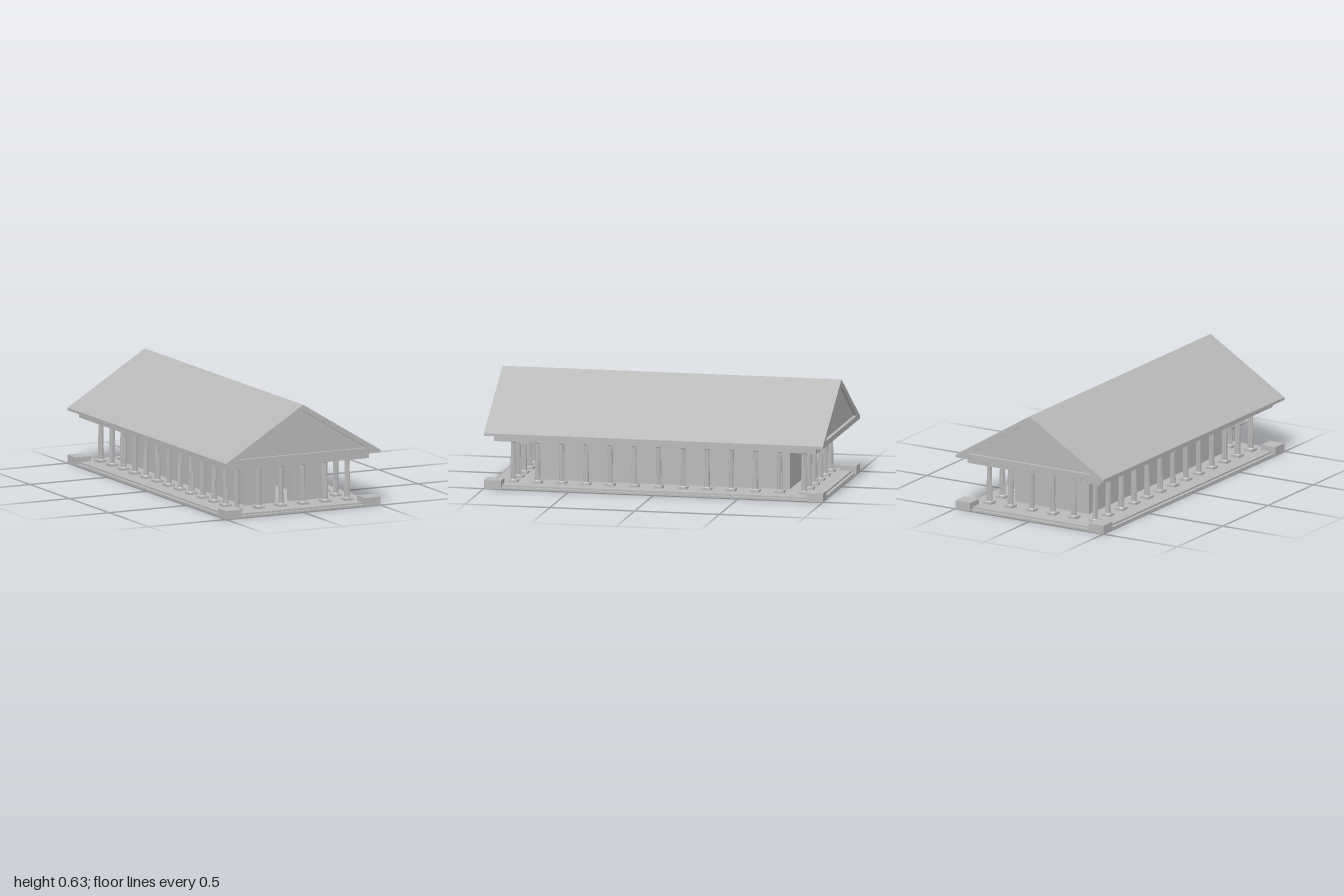
import * as THREE from 'three';

const stone = new THREE.MeshStandardMaterial({ color: 0xb8b8b8 });
stone.name = 'grey stone';
const openStone = stone;
openStone.side = THREE.DoubleSide; // several parts are hollow underneath

function add(parent, name, geometry, x = 0, y = 0, z = 0) {
  const mesh = new THREE.Mesh(geometry, stone);
  mesh.name = name;
  mesh.position.set(x, y, z);
  parent.add(mesh);
  return mesh;
}

const box = (w, h, d) => new THREE.BoxGeometry(w, h, d);
const vec = (pts) => pts.map(([x, y]) => new THREE.Vector2(x, y));
const rect = (x0, x1, z0, z1) => [[x0, z0], [x1, z0], [x1, z1], [x0, z1]];

// Extrude a floor plan given in x, z upwards from y = 0
function prism(plan, height, holes = []) {
  const flip = (pts) => vec(pts.map(([x, z]) => [x, -z]));
  const shape = new THREE.Shape(flip(plan));
  shape.holes = holes.map((h) => new THREE.Path(flip(h)));
  return new THREE.ExtrudeGeometry(shape, { depth: height, bevelEnabled: false }).rotateX(-Math.PI / 2);
}

// The same without its bottom face
function shell(plan, height) {
  const source = prism(plan, height);
  const skip = source.groups[0].count / 2;
  const result = new THREE.BufferGeometry();
  for (const key of ['position', 'normal', 'uv']) {
    const a = source.attributes[key];
    result.setAttribute(key, new THREE.BufferAttribute(a.array.slice(skip * a.itemSize), a.itemSize));
  }
  return result;
}

// Step outline with a notch for each corner block
function stepPlan(a, b) {
  const x = 0.4, z = 0.9;
  return [[a, -z], [a, z], [x, z], [x, b], [-x, b], [-x, z],
    [-a, z], [-a, -z], [-x, -z], [-x, -b], [x, -b], [x, -z]];
}

// Tapered shaft with vertical flutes and crisp edges
function flutedShaft(height) {
  const g = new THREE.CylinderGeometry(0.0145, 0.017, height, 24, 1, true);
  const p = g.attributes.position;
  for (let i = 0; i < p.count; i++) {
    if (i % 25 % 2) {
      p.setX(i, p.getX(i) * 0.88);
      p.setZ(i, p.getZ(i) * 0.88);
    }
  }
  const flat = g.toNonIndexed();
  flat.computeVertexNormals();
  return flat;
}

export function createModel() {
  const model = new THREE.Group();
  model.name = 'temple';

  // Inner chamber plan: one wall loop with a doorway at the front
  const X = 0.25, Z = 0.75, t = 0.05, door = 0.05;
  const wallPlan = [[-door, Z], [-X, Z], [-X, -Z], [X, -Z], [X, Z], [door, Z],
    [door, Z - t], [X - t, Z - t], [X - t, -Z + t], [-X + t, -Z + t], [-X + t, Z - t], [-door, Z - t]];
  const daisPlan = rect(-0.16, 0.16, -0.67, -0.47);

  // Two-step platform
  add(model, 'lowerStep', prism(stepPlan(0.49, 0.99), 0.01, [wallPlan, daisPlan]));
  add(model, 'upperStep', prism(stepPlan(0.47, 0.97), 0.01, [wallPlan, daisPlan]), 0, 0.01, 0);

  // Corner blocks, open underneath
  for (const sx of [-1, 1]) for (const sz of [-1, 1]) {
    add(model, 'cornerBlock', shell(rect(-0.05, 0.05, -0.05, 0.05), 0.05), sx * 0.45, 0, sz * 0.95);
  }

  // Chamber
  add(model, 'chamberWalls', shell(wallPlan, 0.252), 0, 0.02, 0);
  add(model, 'doorLintel', box(0.1, 0.072, t), 0, 0.236, Z - t / 2);
  add(model, 'dais', shell(daisPlan, 0.08), 0, 0.02, 0);
  add(model, 'daisTop', box(0.34, 0.007, 0.22), 0, 0.1035, -0.57);

  // Ring of columns, 6 by 13
  const shaft = flutedShaft(0.215);
  const plinth = box(0.054, 0.013, 0.054);
  const baseRing = new THREE.CylinderGeometry(0.018, 0.022, 0.006, 20);
  const capitalRing = new THREE.CylinderGeometry(0.023, 0.015, 0.009, 20);
  const capital = box(0.05, 0.009, 0.05);
  const gap = 1 / 7;
  for (let i = 0; i < 6; i++) for (let j = 0; j < 13; j++) {
    if (i > 0 && i < 5 && j > 0 && j < 12) continue;
    const column = new THREE.Group();
    column.name = 'column';
    column.position.set((i - 2.5) * gap, 0, (j - 6) * gap);
    add(column, 'plinth', plinth, 0, 0.0265, 0);
    add(column, 'baseRing', baseRing, 0, 0.036, 0);
    add(column, 'shaft', shaft, 0, 0.1465, 0);
    add(column, 'capitalRing', capitalRing, 0, 0.2585, 0);
    add(column, 'capital', capital, 0, 0.2675, 0);
    model.add(column);
  }

  // Beam above the columns, with small blocks on the ends and sides
  add(model, 'beam', box(0.9, 0.038, 1.9), 0, 0.291, 0);
  for (const s of [-1, 1]) {
    for (let i = 0; i < 19; i++) {
      add(model, 'endDentil', box(0.009, 0.02, 0.006), (i - 9) * 0.045, 0.29, s * 0.952);
    }
    for (let i = 0; i < 13; i++) {
      add(model, 'sideDentil', box(0.006, 0.007, 0.1), s * 0.452, 0.302, (i - 6) * 0.143);
    }
  }

  // Gabled roof with a recessed triangle at each end
  const gable = vec([[-0.5, 0.31], [0.5, 0.31], [0.5, 0.325], [0, 0.63], [-0.5, 0.325]]);
  const depth = 0.02;
  const extrude = (shape, d) => new THREE.ExtrudeGeometry(shape, { depth: d, bevelEnabled: false });
  add(model, 'roof', extrude(new THREE.Shape(gable), 2 - 2 * depth), 0, 0, -1 + depth);
  const frame = new THREE.Shape(gable);
  frame.holes.push(new THREE.Path(vec([[-0.415, 0.342], [0, 0.596], [0.415, 0.342]])));
  const frameGeometry = extrude(frame, depth);
  add(model, 'frontGableFrame', frameGeometry, 0, 0, 1 - depth);
  add(model, 'backGableFrame', frameGeometry, 0, 0, -1);

  return model;
}
